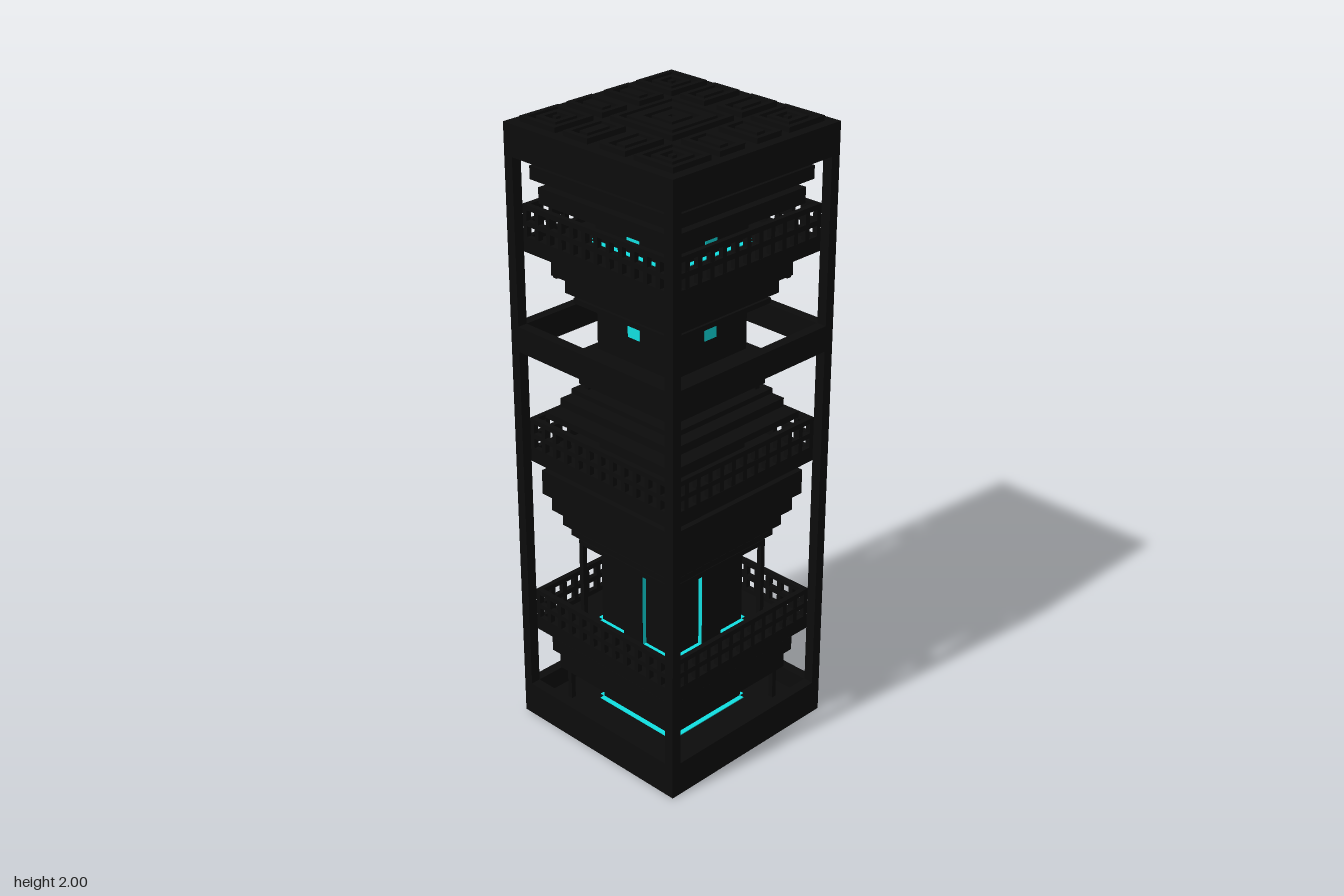
import * as THREE from 'three';

const U = 2 / 123; // grid unit: the tower is 123 units tall and 41 wide
const material = (color) => new THREE.MeshStandardMaterial({ color, flatShading: true });

export function createModel() {
  const tower = new THREE.Group();
  tower.name = 'tower';
  const dark = material(0x0c0c0c), cyan = material(0x10e0e2), red = material(0xe01010);

  const add = (parent, name, geometry, mat) => {
    const mesh = new THREE.Mesh(geometry, mat);
    mesh.name = name;
    parent.add(mesh);
    return mesh;
  };
  // Box from corner to corner, in grid units
  const box = (parent, name, mat, x0, x1, y0, y1, z0, z1) => {
    const g = new THREE.BoxGeometry((x1 - x0) * U, (y1 - y0) * U, (z1 - z0) * U);
    g.translate((x0 + x1) / 2 * U, (y0 + y1) / 2 * U, (z0 + z1) / 2 * U);
    return add(parent, name, g, mat);
  };
  // Square storey centred on the axis
  const slab = (name, mat, y0, y1, h) => box(tower, name, mat, -h, h, y0, y1, -h, h);
  const trace = (path, [x, z, w, d]) => {
    path.moveTo((x - w) * U, (z - d) * U);
    path.lineTo((x + w) * U, (z - d) * U);
    path.lineTo((x + w) * U, (z + d) * U);
    path.lineTo((x - w) * U, (z + d) * U);
    path.closePath();
    return path;
  };
  // Flat plate with rectangular holes; rectangles are [x, z, half width, half depth]
  const plate = (name, outer, holes, y0, y1) => {
    const shape = trace(new THREE.Shape(), outer);
    shape.holes = holes.map((h) => trace(new THREE.Path(), h));
    const g = new THREE.ExtrudeGeometry(shape, { depth: (y1 - y0) * U, bevelEnabled: false });
    g.rotateX(-Math.PI / 2).translate(0, y0 * U, 0);
    add(tower, name, g, dark);
  };
  // Repeat a part on all four faces
  const onFaces = (name, build) => {
    for (let i = 0; i < 4; i++) {
      const face = new THREE.Group();
      face.name = name;
      face.rotation.y = i * Math.PI / 2;
      build(face);
      tower.add(face);
    }
  };
  // Repeat a square column on all four corners
  const columns = (name, c, r, y0, y1) => {
    for (const x of [-c, c]) for (const z of [-c, c])
      box(tower, name, dark, x - r, x + r, y0, y1, z - r, z + r);
  };

  // Outer cage: base tray, corner posts and middle ring
  slab('baseFloor', dark, 0, 3, 20.5);
  plate('baseRim', [0, 0, 20.5, 20.5], [[0, 0, 18.5, 18.5]], 3, 7);
  columns('cornerPost', 19.5, 1, 7, 116);
  plate('middleRing', [0, 0, 20.5, 20.5], [[0, 0, 18.5, 18.5]], 79, 84);

  // Central shaft and the stepped storeys around it
  slab('core', dark, 3, 116, 9.5);
  const steps = [
    [10, 13, 15.5], [14, 17, 16.5],
    [38, 39, 12.5], [40, 41.2, 13.5], [42.2, 44.4, 14.6], [45.4, 48, 16], [49, 54, 17.2],
    [65, 66.3, 16.5], [67.3, 69, 14.5], [70, 71, 13], [72, 73, 12], [74, 76, 11.5], [77, 79, 11.5],
    [88, 89, 12.5], [90, 92.5, 13.5], [93.4, 96, 15.2],
    [107, 110, 16.5], [110, 111.5, 10.5], [111.5, 114, 17.5],
  ];
  steps.forEach(([y0, y1, h]) => slab('step', dark, y0, y1, h));

  // Glowing bands in the gaps between storeys
  const bands = [
    [13, 14], [17.3, 19], [39, 40], [41.2, 42.2], [44.4, 45.4], [48, 49], [54.3, 56],
    [66.3, 67.3], [69, 70], [71, 72], [73, 74], [76, 77], [89, 90], [92.5, 93.4],
    [96.2, 96.9], [97.2, 98], [115.2, 116],
  ];
  bands.forEach(([y0, y1]) => slab('glowBand', cyan, y0, y1, 10.3));

  // Thin corner columns between storeys
  columns('thinColumn', 14, 0.5, 3, 10);
  columns('thinColumn', 12, 0.5, 21, 38);
  columns('thinColumn', 13, 0.5, 41, 49);
  columns('thinColumn', 14.5, 0.5, 93, 98);
  columns('thinColumn', 10.8, 0.5, 66, 77);

  // Decks with lattice railings
  for (const y of [19, 56, 98]) {
    slab('deck', dark, y, y + 2, 18.5);
    onFaces('railing', (f) => {
      for (const r of [2, 5, 8])
        box(f, 'rail', dark, -18.5, 18.5, y + r, y + r + 1, 17.5, 18.5);
      for (let x = -18; x <= 18; x += 3)
        box(f, 'baluster', dark, x - 0.5, x + 0.5, y + 2, y + 9, 17.5, 18.49);
    });
  }

  onFaces('coreFace', (f) => {
    // Light strips on the floors at the foot of the shaft
    for (const y of [3, 21, 58, 100])
      box(f, 'floorLight', cyan, -9.5, 9.5, y, y + 0.15, 9.5, 10.5);
    // Upper windows
    box(f, 'window', cyan, -1.5, 1.5, 84, 88, 9.4, 9.65);
    box(f, 'window', cyan, -1.5, 1.5, 101, 106, 9.4, 9.65);
    // Covered light panel on the lower shaft
    box(f, 'lightPanel', cyan, -2.5, 2.5, 21, 38, 9.5, 10.4);
    box(f, 'panelCover', dark, -2.5, 2.5, 21, 38, 10.4, 10.6);
    // Ribs crossing the glowing bands
    box(f, 'centreRib', dark, -1.5, 1.5, 38, 56, 9.5, 11.5);
    for (const x of [-9.2, 9.2]) for (const [y0, y1] of [[66, 79], [88, 98]])
      box(f, 'sideRib', dark, x - 0.25, x + 0.25, y0, y1, 9.5, 10.6);
  });

  // Roof: each pad is a rectangle around nested grooves with a red floor
  const pads = [{ r: [0, 0, 7.5, 7.5], groove: [6.5, 6.5], islands: [[5.5, 3.5], [2.5, 0.5]] }];
  for (const s of [-1, 1]) for (const t of [-1, 1]) {
    pads.push({ r: [14 * s, 14 * t, 4.5, 4.5], groove: [3.5, 3.5], islands: [[2.5, 1.5], [0.5, 0]] });
    pads.push({ r: [4.5 * s, 14 * t, 3, 4.5], groove: [2, 3.5], islands: [[1, 0, 2.5]] });
    pads.push({ r: [14 * s, 4.5 * t, 4.5, 3], groove: [3.5, 2], islands: [[2.5, 0, 1]] });
  }
  slab('roofSlab', dark, 116, 120, 20.5);
  plate('roofDeck', [0, 0, 20.5, 20.5], pads.map(({ r, groove }) => [r[0], r[1], ...groove]), 120, 122);
  for (const { r, groove, islands } of pads) {
    const [x, z] = r, [gw, gd] = groove;
    box(tower, 'redGroove', red, x - gw, x + gw, 119.9, 120.1, -z - gd, -z + gd);
    plate('roofPad', r, [[x, z, gw, gd]], 122, 123);
    for (const [w, hole, d = w] of islands)
      plate('roofIsland', [x, z, w, d], hole ? [[x, z, hole, hole]] : [], 120, 123);
  }
  return tower;
}
